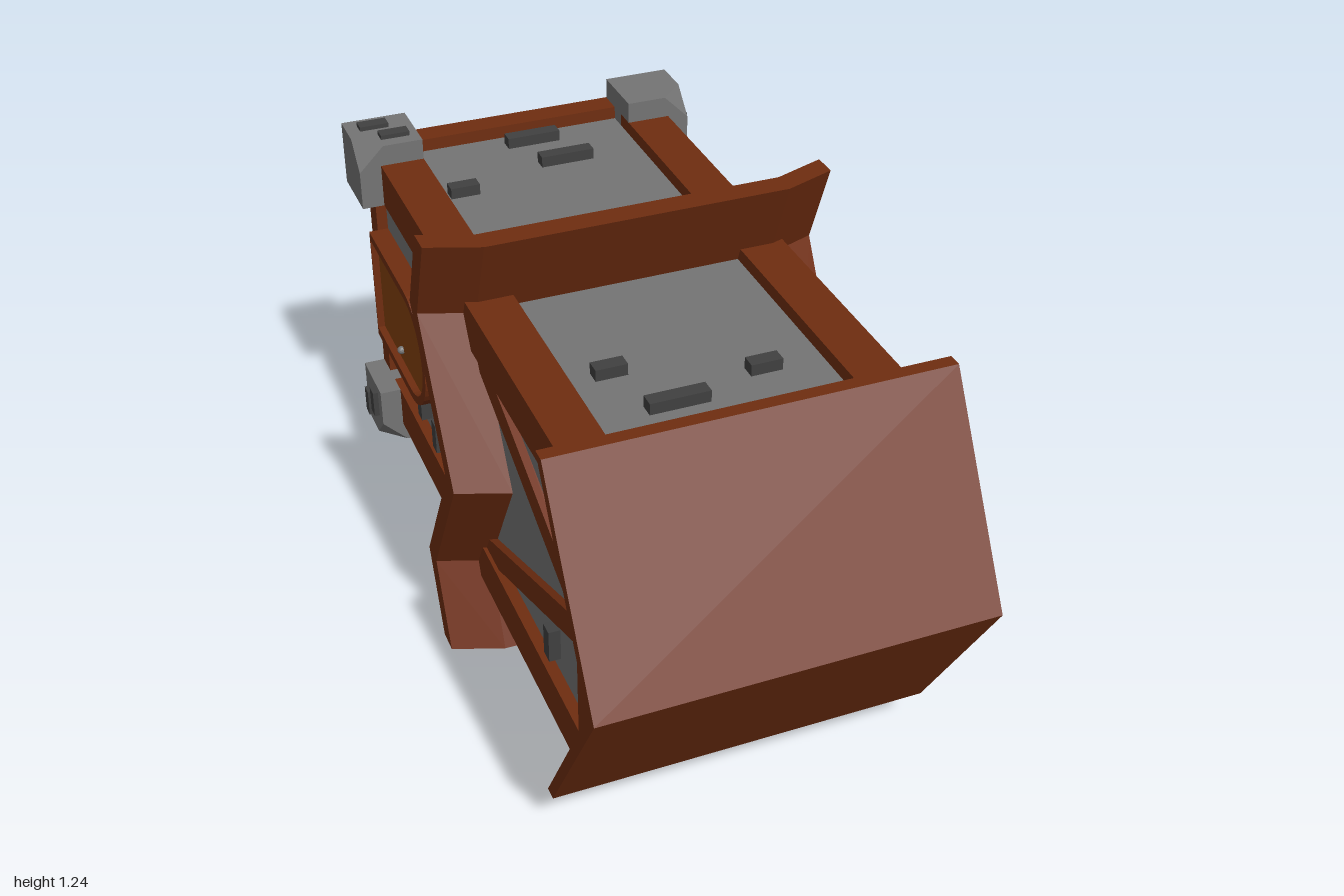
import * as THREE from 'three';
import { ConvexGeometry } from 'three/addons/geometries/ConvexGeometry.js';

const CY = 0.615; // height of the long axis

export function createModel() {
  const model = new THREE.Group();
  const mat = (color) => new THREE.MeshStandardMaterial({ color, flatShading: true, side: THREE.DoubleSide });
  const wood = mat(0x6f2d10), stone = mat(0x747474), brick = mat(0x404040), doorWood = mat(0x85420c);

  const add = (name, geo, material) => {
    const m = new THREE.Mesh(geo, material);
    m.name = name;
    model.add(m);
    return m;
  };
  const box = (name, material, w, h, d, x, y, z) =>
    add(name, new THREE.BoxGeometry(w, h, d).translate(x, y, z), material);
  // Outline of [z, y] points, extruded between x0 and x1
  const sidePrism = (name, material, shape, x0, x1) => {
    if (Array.isArray(shape)) shape = new THREE.Shape(shape.map(([z, y]) => new THREE.Vector2(z, y)));
    const geo = new THREE.ExtrudeGeometry(shape, { depth: x1 - x0, bevelEnabled: false, curveSegments: 10 });
    return add(name, geo.rotateY(-Math.PI / 2).translate(x1, 0, 0), material);
  };
  // Loft of a closed [z, y] outline over [x, zShift] stations
  const loft = (name, outline, stations) => {
    const n = outline.length, pos = [], idx = [];
    for (const [x, dz] of stations) for (const [z, y] of outline) pos.push(x, y, z + dz);
    for (let s = 0; s < stations.length - 1; s++)
      for (let i = 0; i < n; i++) {
        const a = s * n + i, b = s * n + (i + 1) % n;
        idx.push(a, a + n, b, b, a + n, b + n);
      }
    const caps = THREE.ShapeUtils.triangulateShape(outline.map(([z, y]) => new THREE.Vector2(z, y)), []);
    const last = (stations.length - 1) * n;
    for (const [a, b, c] of caps) idx.push(a, b, c, last + a, last + c, last + b);
    const geo = new THREE.BufferGeometry();
    geo.setAttribute('position', new THREE.Float32BufferAttribute(pos, 3));
    geo.setIndex(idx);
    const flat = geo.toNonIndexed();
    flat.computeVertexNormals();
    add(name, flat, wood);
  };

  // Walls, open at the back end
  for (const s of [-1, 1]) {
    const x = s * 0.38;
    sidePrism('gableWall', stone, [
      [-0.97, CY - 0.385], [0.71, CY - 0.385], [0.94, CY], [0.71, CY + 0.385], [-0.97, CY + 0.385],
    ], x - 0.01, x + 0.01);
    box('flatWall', stone, 0.76, 0.02, 1.68, 0, CY + s * 0.38, -0.13);
  }

  // Corner beams, base frame and corner stones
  for (const sx of [-1, 1]) {
    for (const sy of [-1, 1]) {
      box('cornerBeam', wood, 0.12, 0.12, 1.58, sx * 0.36, CY + sy * 0.365, -0.09);
      const pts = [];
      const c = 0.07;
      for (const x of [0.30, 0.48]) for (const y of [0.305, 0.483]) for (const z of [-0.997, -0.82]) {
        const cut = x > 0.4 && y > 0.4 && z > -0.9;
        const corners = cut ? [[x - c, y, z], [x, y - c, z], [x, y, z - c]] : [[x, y, z]];
        for (const p of corners) pts.push(new THREE.Vector3(sx * p[0], CY + sy * p[1], p[2]));
      }
      add('cornerStone', new ConvexGeometry(pts), stone);
    }
    box('basePost', wood, 0.08, 0.79, 0.07, sx * 0.38, CY, -0.965);
    box('baseBeam', wood, 0.78, 0.08, 0.07, 0, CY + sx * 0.385, -0.965);
  }

  // Gable tie beams and crossed braces
  for (const sx of [-1, 1]) {
    const [x0, x1] = sx > 0 ? [0.38, 0.42] : [-0.42, -0.38];
    sidePrism('gableTie', wood, [
      [0.70, CY - 0.42], [0.715, CY - 0.42], [0.79, CY - 0.295],
      [0.79, CY + 0.295], [0.715, CY + 0.42], [0.70, CY + 0.42],
    ], x0, x1);
    for (const sy of [-1, 1])
      sidePrism('crossBrace', wood, [
        [-0.05, CY + sy * 0.28], [-0.05, CY + sy * 0.355],
        [0.92, CY - sy * 0.033], [0.895, CY - sy * 0.10],
      ], sx > 0 ? 0.38 : -0.41, sx > 0 ? 0.41 : -0.38);
  }

  // Roof
  sidePrism('roof', wood, [
    [1, CY], [0.705, CY + 0.495], [0.67, CY + 0.495], [0.962, CY],
    [0.67, CY - 0.495], [0.705, CY - 0.495],
  ], -0.49, 0.49);

  // Middle collar: flared eaves and side chevrons, swept back at their ends
  const T = 0.065;
  for (const s of [-1, 1]) {
    loft('collarEave', [
      [-0.02, CY + s * 0.6175], [-0.115, CY + s * 0.385],
      [-0.115 - T, CY + s * 0.385], [-0.02 - T, CY + s * 0.6175],
    ].sort(() => 0), [[-0.525, 0], [-0.39, 0.05], [0.39, 0.05], [0.525, 0]]);
    loft('collarChevron', [
      [-0.115, CY + 0.385], [0.115, CY], [-0.115, CY - 0.385],
      [-0.115 - T, CY - 0.385], [0.115 - T, CY], [-0.115 - T, CY + 0.385],
    ], [[s * 0.36, 0.05], [s * 0.39, 0.05], [s * 0.525, 0]]);
  }

  // Arched door with its surround and knob
  const arch = (r, base) => {
    const sh = new THREE.Shape();
    sh.moveTo(base, CY - r);
    sh.lineTo(-0.58, CY - r);
    sh.absarc(-0.58, CY, r, -Math.PI / 2, Math.PI / 2, false);
    sh.lineTo(base, CY + r);
    sh.closePath();
    return sh;
  };
  const surround = arch(0.17, -0.93);
  surround.holes.push(arch(0.145, -0.925));
  sidePrism('doorSurround', wood, surround, -0.445, -0.38);
  sidePrism('door', doorWood, arch(0.15, -0.93), -0.425, -0.38);
  add('doorKnob', new THREE.IcosahedronGeometry(0.012, 1).translate(-0.43, 0.51, -0.72), stone);

  // Loose bricks through the flat walls: [x, z, length]
  const upper = [[0.03, -0.875, 0.15], [0.08, -0.735, 0.15], [-0.24, -0.65, 0.08], [-0.05, -0.2, 0.15],
    [-0.19, 0.31, 0.08], [0.15, 0.42, 0.08], [-0.09, 0.48, 0.15]];
  const lower = [[0.22, -0.37, 0.08], [0.2, -0.6, 0.15], [0.147, -0.75, 0.15], [-0.15, -0.6, 0.08],
    [0.2, 0.45, 0.08], [0.08, 0.46, 0.15], [0, 0.3, 0.08]];
  for (const [x, z, l] of upper) box('brick', brick, l, 0.08, 0.038, x, CY + 0.38, z);
  for (const [x, z, l] of lower) box('brick', brick, l, 0.08, 0.038, x, CY - 0.38, z);
  // Bricks of the door wall: [y, z, length]
  for (const [y, z, l] of [[0.78, -0.34, 0.09], [0.73, -0.27, 0.09], [0.5, -0.12, 0.14],
    [0.4, 0.48, 0.09], [0.38, -0.46, 0.09], [0.4, -0.6, 0.09]])
    box('brick', brick, 0.07, l, 0.038, -0.385, y, z);

  // Brick pairs on the corner stones, turned a quarter from one stone to the next
  for (let k = 0; k < 4; k++) {
    const g = new THREE.Group();
    g.name = 'stoneBricks';
    for (const [y, z] of [[0.365, -0.875], [0.405, -0.945]]) {
      const m = new THREE.Mesh(new THREE.BoxGeometry(0.03, 0.08, 0.036), brick);
      m.name = 'stoneBrick';
      m.position.set(0.48, y, z);
      g.add(m);
    }
    g.position.y = CY;
    g.rotation.z = k * Math.PI / 2;
    model.add(g);
  }
  return model;
}
